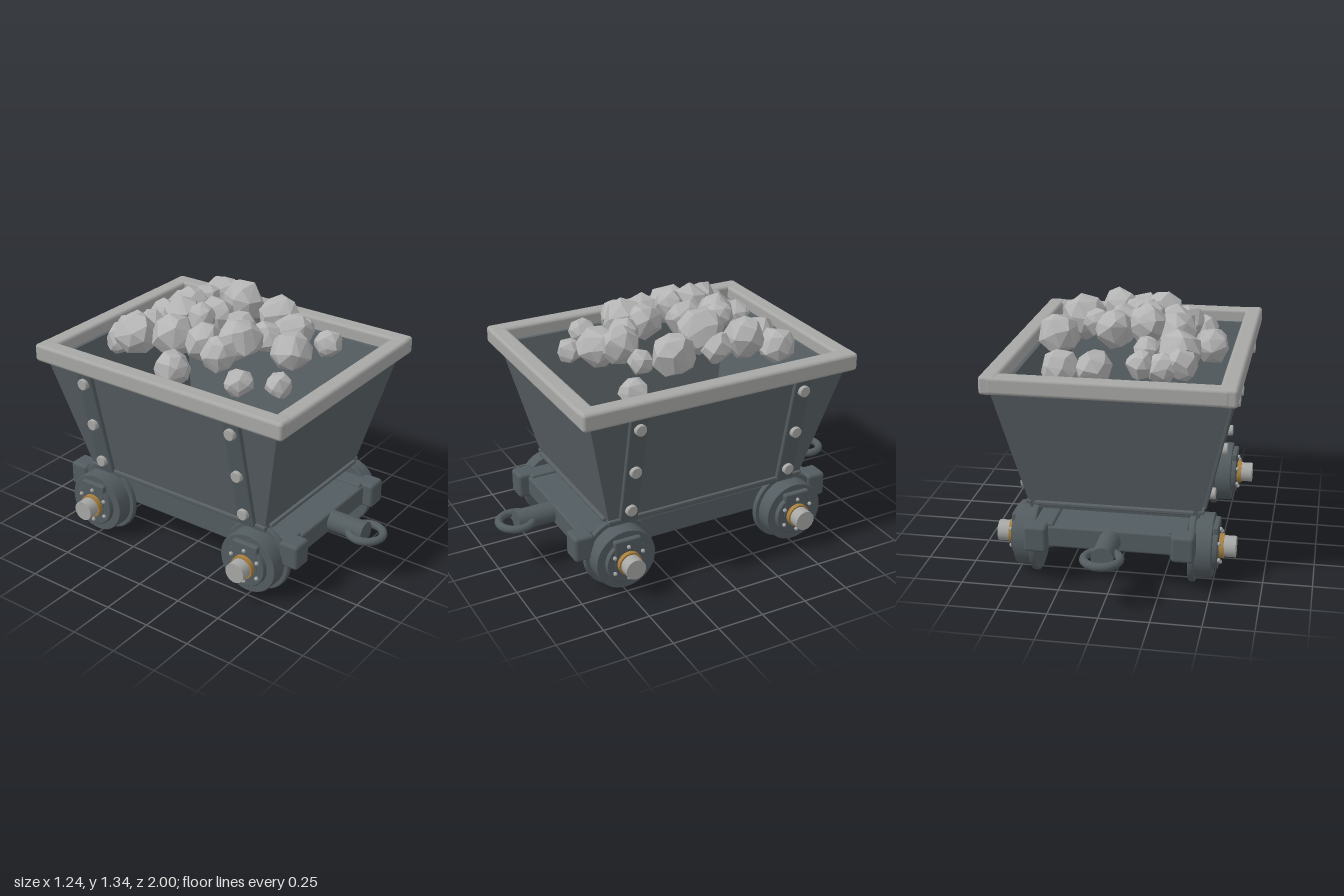
import * as THREE from 'three';
import { RoundedBoxGeometry } from 'three/addons/geometries/RoundedBoxGeometry.js';
import { ConvexGeometry } from 'three/addons/geometries/ConvexGeometry.js';

const mat = (name, color, extra = {}) => {
  const m = new THREE.MeshStandardMaterial({ color, ...extra });
  m.name = name;
  return m;
};

// Closed skin through rectangular loops [halfX, halfZ, y], capped at both ends
function rectLoft(loops) {
  const corners = [[1, 1], [1, -1], [-1, -1], [-1, 1]];
  const pos = [], idx = [];
  loops.forEach(([hx, hz, y]) => corners.forEach(([sx, sz]) => pos.push(sx * hx, y, sz * hz)));
  for (let k = 0; k < loops.length - 1; k++) {
    for (let i = 0; i < 4; i++) {
      const a = k * 4 + i, b = k * 4 + (i + 1) % 4;
      idx.push(a, b, b + 4, a, b + 4, a + 4);
    }
  }
  const e = (loops.length - 1) * 4;
  idx.push(0, 2, 1, 0, 3, 2, e, e + 1, e + 2, e, e + 2, e + 3);
  const g = new THREE.BufferGeometry();
  g.setAttribute('position', new THREE.Float32BufferAttribute(pos, 3));
  g.setIndex(idx);
  const flat = g.toNonIndexed();
  flat.computeVertexNormals();
  return flat;
}

function makeRandom(seed) {
  return () => (seed = (seed * 16807) % 2147483647) / 2147483647;
}

// Chunky boulder: hull of jittered points spread over a sphere
function rockGeometry(r, rand) {
  const pts = [], n = 26;
  for (let i = 0; i < n; i++) {
    const y = 1 - 2 * (i + 0.5) / n, a = i * 2.39996 + rand() * 0.8;
    const s = Math.sqrt(1 - y * y);
    pts.push(new THREE.Vector3(s * Math.cos(a), y, s * Math.sin(a)).multiplyScalar(r * (0.96 + rand() * 0.14)));
  }
  return new ConvexGeometry(pts);
}

export function createModel() {
  const root = new THREE.Group();
  root.name = 'mineCart';
  const body = mat('body steel', 0x586064);
  const iron = mat('dark iron', 0x535c60);
  const steel = mat('pale steel', 0xa7a7a6);
  const brass = mat('brass', 0xa8803c);
  const stone = mat('stone', 0xb4b4b4, { flatShading: true });

  const add = (name, geo, m, x = 0, y = 0, z = 0, parent = root) => {
    const mesh = new THREE.Mesh(geo, m);
    mesh.name = name;
    mesh.position.set(x, y, z);
    parent.add(mesh);
    return mesh;
  };
  const rbox = (w, h, d, r = 0.012) => new RoundedBoxGeometry(w, h, d, 2, r);
  const cylX = (r, len, seg = 32) => new THREE.CylinderGeometry(r, r, len, seg).rotateZ(Math.PI / 2);
  // Disc along x with bevelled edges
  const discX = (r, len, b) => new THREE.LatheGeometry([
    [0, -len / 2], [r - b, -len / 2], [r - b, -len / 2], [r, b - len / 2],
    [r, len / 2 - b], [r - b, len / 2], [r - b, len / 2], [0, len / 2],
  ].map(([x, y]) => new THREE.Vector2(x, y)), 48).rotateZ(Math.PI / 2);
  const sides = [1, -1];

  // Flared tub with a hollow inside and a narrow ledge below the rim
  add('tub', rectLoft([
    [0.43, 0.555, 0.36], [0.582, 0.718, 1.04], [0.51, 0.658, 1.04], [0.365, 0.505, 0.4],
  ]), body);

  // Rim and foot bands
  for (const s of sides) {
    add('sideRim', rbox(0.09, 0.095, 1.53, 0.018), steel, s * 0.575, 1.0625, 0);
    add('endRim', rbox(1.17, 0.09, 0.09, 0.018), steel, 0, 1.0625, s * 0.722);
    add('endFootBand', rbox(0.81, 0.02, 0.03, 0.006), body, 0, 0.394, s * 0.568);
    add('sideFootBand', rbox(0.03, 0.02, 1.14, 0.006), body, s * 0.437, 0.394, 0);
  }

  // Riveted straps following the slope of the side walls
  const slope = Math.atan(0.152 / 0.68);
  const wallX = (y) => 0.43 + (y - 0.36) * 0.152 / 0.68;
  for (const sx of sides) for (const sz of sides) {
    const strap = add('strap', rbox(0.026, 0.66, 0.1, 0.008), iron, sx * (wallX(0.71) + 0.008), 0.71, sz * 0.46);
    strap.rotation.z = -sx * slope;
    for (const y of [0.955, 0.7, 0.46])
      add('rivet', discX(0.03, 0.04, 0.004), steel, sx * (wallX(y) + 0.026), y, sz * 0.46);
  }

  // Chassis frame, corner buffers and couplings
  for (const s of sides) {
    add('sideBeam', rbox(0.1, 0.135, 1.36), iron, s * 0.335, 0.267, 0);
    add('crossBeam', rbox(0.64, 0.112, 0.27), iron, 0, 0.265, s * 0.555);
    for (const sx of sides)
      add('buffer', rbox(0.115, 0.138, 0.11, 0.018), iron, sx * 0.368, 0.267, s * 0.69);
    add('couplingStub', new THREE.CylinderGeometry(0.056, 0.056, 0.23, 24).rotateX(Math.PI / 2), iron, 0, 0.265, s * 0.775);
    add('couplingRing', new THREE.TorusGeometry(0.088, 0.021, 12, 36).rotateX(Math.PI / 2), iron, 0, 0.265, s * 0.891);
  }

  // Axles and wheels
  for (const sz of sides) {
    add('axle', cylX(0.054, 1.224), steel, 0, 0.195, sz * 0.5);
    for (const sx of sides) {
      const wheel = new THREE.Group();
      wheel.name = 'wheel';
      wheel.position.set(0, 0.195, sz * 0.5);
      root.add(wheel);
      add('flange', discX(0.19, 0.03, 0.005), iron, sx * 0.4, 0, 0, wheel);
      add('tread', discX(0.165, 0.1, 0.004), iron, sx * 0.45, 0, 0, wheel);
      add('hub', discX(0.118, 0.04, 0.004), iron, sx * 0.505, 0, 0, wheel);
      add('bearingPlate', rbox(0.032, 0.13, 0.15, 0.01), iron, sx * 0.512, 0.065, 0, wheel);
      add('bearingBoss', cylX(0.075, 0.032), iron, sx * 0.512, 0, 0, wheel);
      add('collar', cylX(0.063, 0.035), brass, sx * 0.534, 0, 0, wheel);
      for (let i = 0; i < 6; i++) {
        const a = Math.PI / 2 + i * Math.PI / 3;
        add('hubBolt', new THREE.SphereGeometry(0.011, 8, 6), steel,
          sx * 0.532, 0.09 * Math.sin(a), 0.09 * Math.cos(a), wheel);
      }
    }
  }

  // Heap of rocks: x, y, z, radius
  const rocks = [
    [-0.3, 1.16, -0.35, 0.11], [-0.31, 1.12, -0.43, 0.085], [-0.12, 1.12, -0.48, 0.078], [-0.22, 1.1, -0.46, 0.08],
    [-0.14, 1.16, -0.37, 0.072], [0.11, 1.09, -0.48, 0.095], [0.28, 1.08, -0.49, 0.097], [0.05, 1.23, -0.25, 0.098],
    [0.14, 1.25, -0.22, 0.074], [0.33, 1.19, -0.26, 0.105], [-0.11, 1.24, -0.19, 0.1], [-0.25, 1.19, -0.14, 0.11],
    [-0.42, 1.1, -0.02, 0.094], [-0.22, 1.19, 0.03, 0.1], [-0.11, 1.25, -0.07, 0.08], [0.03, 1.22, -0.08, 0.095],
    [0.24, 1.23, -0.06, 0.118], [0.33, 1.17, -0.1, 0.085], [0.31, 1.17, 0.13, 0.11], [-0.27, 1.17, 0.16, 0.09],
    [-0.13, 1.21, 0.19, 0.11], [-0.04, 1.22, 0.12, 0.094], [0.01, 1.19, 0.26, 0.084], [0.01, 1.15, 0.4, 0.108],
    [0.12, 1.19, 0.33, 0.105], [0.28, 1.15, 0.3, 0.066], [0.39, 1.05, 0.39, 0.074], [-0.34, 1.09, 0.33, 0.072],
    [-0.2, 1.06, 0.47, 0.067],
  ];
  const heap = new THREE.Group();
  heap.name = 'rockHeap';
  root.add(heap);
  const rand = makeRandom(4217);
  for (const [x, y, z, r] of rocks) {
    const rock = add('rock', rockGeometry(r, rand), stone, x, y, z, heap);
    rock.rotation.set(rand() * 6, rand() * 6, rand() * 6);
  }
  return root;
}
